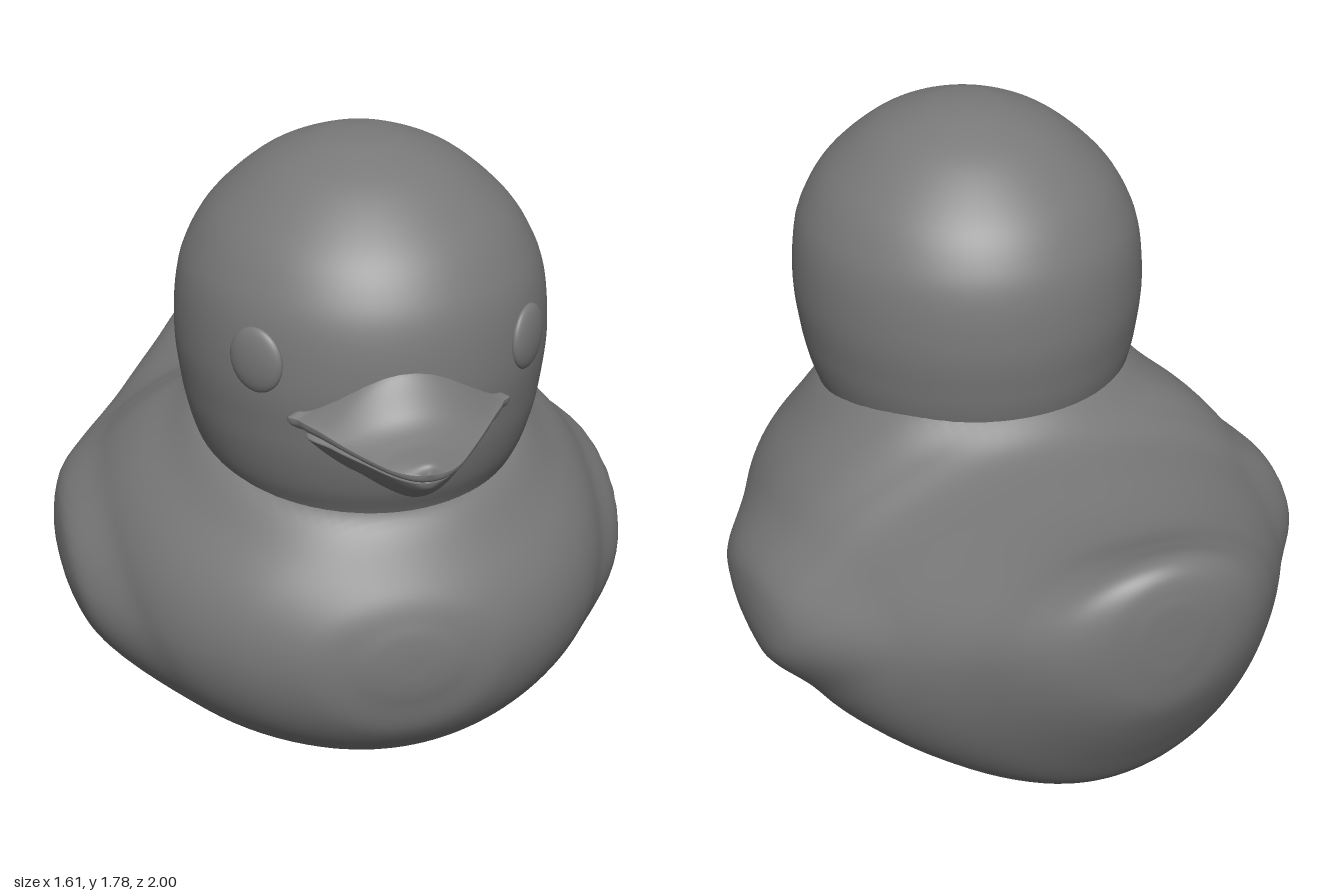
import * as THREE from 'three';
import { mergeVertices } from 'three/addons/utils/BufferGeometryUtils.js';

const material = new THREE.MeshStandardMaterial({ color: 0x797979 });
const { smoothstep } = THREE.MathUtils;

function part(name, geometry) {
  const mesh = new THREE.Mesh(geometry, material);
  mesh.name = name;
  return mesh;
}

// Smooth loft from front to back.
// Each row: [z, bottom, top, half width, height of widest point, dip in the middle of the top]
function loft(rows, { steps = 96, sides = 72, upper = 1, lower = 1, shift } = {}) {
  const spline = (k) => new THREE.CatmullRomCurve3(
    rows.map((r) => new THREE.Vector3(r[k], r[k + 1], r[k + 2] ?? 0)), false, 'catmullrom', 0.5);
  const heights = spline(0), widths = spline(3);
  const positions = [], index = [];
  const p = new THREE.Vector3();
  for (let i = 0; i <= steps; i++) {
    const { x: z, y: bottom, z: top } = heights.getPoint(i / steps);
    const { x: width, y: mid, z: dip } = widths.getPoint(i / steps);
    for (let j = 0; j < sides; j++) {
      const a = (j / sides) * Math.PI * 2, s = Math.sin(a), c = Math.cos(a);
      const y = s >= 0 ? mid + (top - mid) * s ** upper - dip * Math.exp(-((c / 0.45) ** 2))
        : mid - (mid - bottom) * (-s) ** lower;
      p.set(width * c, y, z);
      if (shift) shift(p);
      positions.push(p.x, p.y, p.z);
      if (i < steps) {
        const k = (j + 1) % sides, n = i * sides;
        index.push(n + j, n + sides + j, n + k, n + k, n + sides + j, n + sides + k);
      }
    }
  }
  let g = new THREE.BufferGeometry();
  g.setAttribute('position', new THREE.Float32BufferAttribute(positions, 3));
  g.setIndex(index);
  g = mergeVertices(g, 1e-5);
  g.computeVertexNormals();
  return g;
}

// Folded wings swell from the flanks, and the back rises softly to the neck
function shapeBody(p) {
  const dz = -(p.z + 0.02), dy = p.y - 0.525;
  const along = dz * 0.95 + dy * 0.31, across = dy * 0.95 - dz * 0.31;
  const d = Math.hypot(along / 0.54, across / (0.24 - 0.1 * along));
  if (Math.abs(p.x) > 0.3) p.x += Math.sign(p.x) * 0.058 * (1 - smoothstep(d, 0.5, 1.1));
  const ring = Math.hypot(p.x / 0.485, (p.z - 0.27) / 0.52);
  p.y += 0.04 * Math.exp(-(((ring - 0.87) / 0.14) ** 2)) * smoothstep(p.y, 0.65, 0.9);
}

export function createModel() {
  const duck = new THREE.Group();
  duck.name = 'duck';

  // Body with wings and upturned tail
  duck.add(part('body', loft([
    [0.868, 0.55, 0.55, 0, 0.55, 0],
    [0.866, 0.5, 0.6, 0.07, 0.55, 0],
    [0.855, 0.44, 0.66, 0.15, 0.55, 0],
    [0.82, 0.33, 0.745, 0.28, 0.55, 0],
    [0.72, 0.22, 0.86, 0.44, 0.55, 0],
    [0.57, 0.135, 0.95, 0.575, 0.54, 0],
    [0.38, 0.065, 1.03, 0.67, 0.54, 0],
    [0.15, 0.014, 1.08, 0.73, 0.54, 0],
    [-0.05, 0.0, 1.08, 0.745, 0.54, 0],
    [-0.2, 0.018, 1.03, 0.735, 0.54, 0],
    [-0.32, 0.037, 0.99, 0.7, 0.55, 0],
    [-0.48, 0.075, 0.985, 0.63, 0.58, 0.01],
    [-0.62, 0.12, 0.99, 0.54, 0.63, 0.02],
    [-0.74, 0.205, 1.0, 0.45, 0.69, 0.02],
    [-0.85, 0.37, 1.02, 0.365, 0.75, 0.005],
    [-0.93, 0.51, 1.035, 0.28, 0.79, 0],
    [-0.975, 0.61, 1.01, 0.195, 0.82, 0],
    [-0.994, 0.71, 0.95, 0.11, 0.84, 0],
    [-0.999, 0.78, 0.9, 0.05, 0.84, 0],
    [-1.0, 0.84, 0.84, 0, 0.84, 0],
  ], { steps: 152, sides: 112, upper: 0.97, lower: 1.05, shift: shapeBody })));

  // Round head narrowing into the neck
  const outline = new THREE.SplineCurve([
    [0.78, 0.82], [0.82, 0.9], [0.895, 0.98], [0.945, 1.06], [0.975, 1.14], [1, 1.26], [0.98, 1.4],
    [0.915, 1.5], [0.78, 1.6], [0.53, 1.705], [0.27, 1.762], [0.1, 1.778], [0, 1.78],
  ].map(([r, y]) => new THREE.Vector2(r, y))).getPoints(72);
  outline[72].x = 0;
  const head = part('head', new THREE.LatheGeometry(outline, 72));
  head.scale.set(0.485, 1, 0.52);
  head.position.z = 0.27;
  duck.add(head);

  // Beak: flared upper half and smaller V-shaped lower half
  duck.add(part('upperBeak', loft([
    [1.0, 1.16, 1.16, 0, 1.16],
    [0.99, 1.138, 1.182, 0.045, 1.16],
    [0.96, 1.135, 1.19, 0.085, 1.162],
    [0.91, 1.135, 1.203, 0.125, 1.168],
    [0.85, 1.138, 1.24, 0.17, 1.178],
    [0.785, 1.142, 1.33, 0.22, 1.195],
    [0.73, 1.145, 1.35, 0.258, 1.203],
    [0.69, 1.155, 1.34, 0.262, 1.203],
    [0.64, 1.2, 1.2, 0, 1.2],
  ], { steps: 56, sides: 64, upper: 2.6, lower: 0.7 })));
  duck.add(part('lowerBeak', loft([
    [0.985, 1.13, 1.13, 0, 1.13],
    [0.975, 1.11, 1.145, 0.035, 1.13],
    [0.94, 1.08, 1.155, 0.08, 1.135],
    [0.88, 1.045, 1.16, 0.125, 1.14],
    [0.79, 1.03, 1.17, 0.19, 1.148],
    [0.7, 1.035, 1.18, 0.23, 1.155],
    [0.6, 1.15, 1.15, 0, 1.15],
  ], { steps: 40, sides: 48, lower: 2 })));

  // Flat oval eyes lying on the head
  for (const [side, name] of [[1, 'leftEye'], [-1, 'rightEye']]) {
    const eye = part(name, new THREE.SphereGeometry(1, 32, 20));
    eye.scale.set(0.078, 0.085, 0.024);
    eye.position.set(side * 0.342, 1.33, 0.632);
    eye.rotation.y = side * 0.83;
    duck.add(eye);
  }
  return duck;
}
